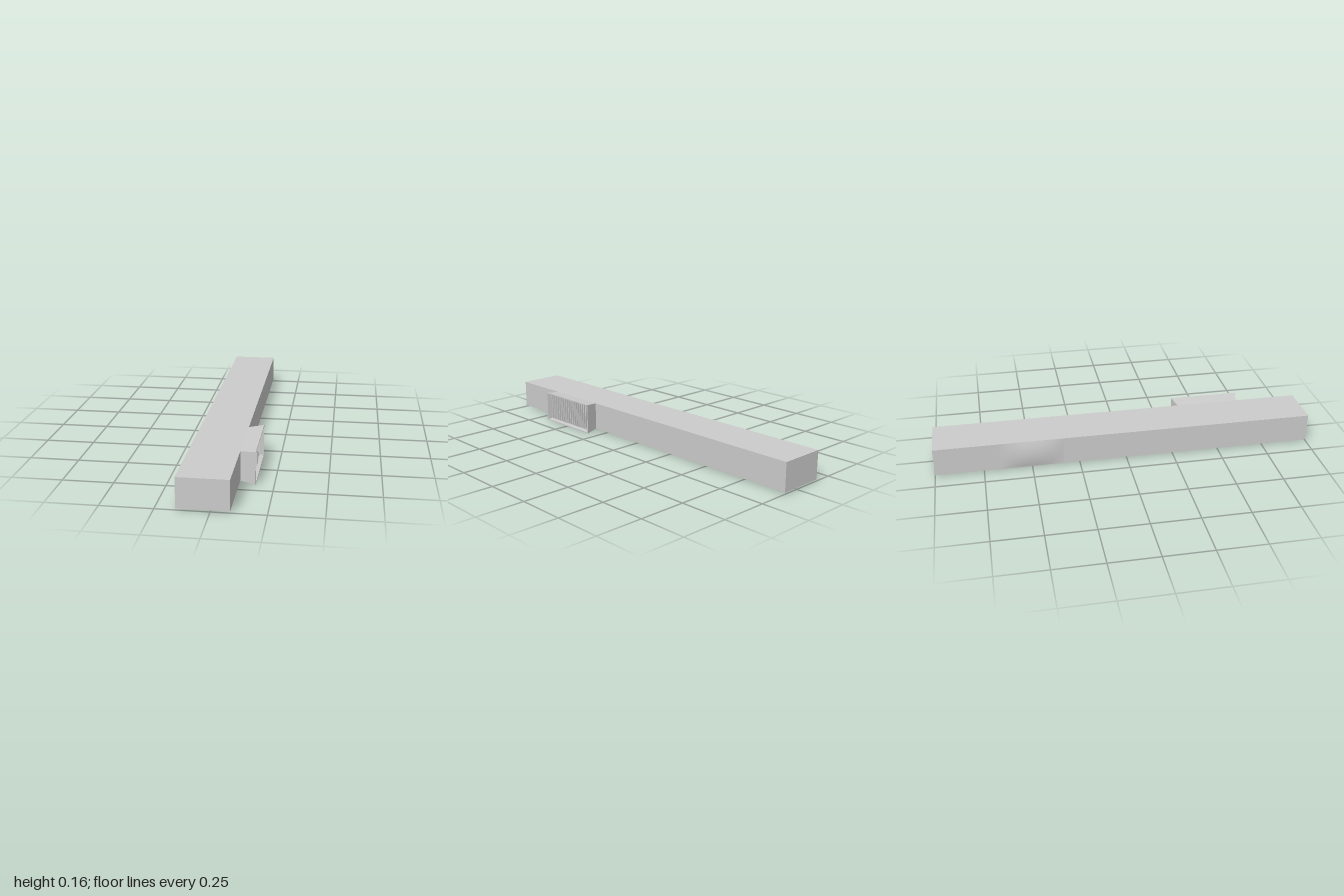
import * as THREE from 'three';

const material = new THREE.MeshStandardMaterial({ color: 0xcccccc, flatShading: true });
const smooth = new THREE.MeshStandardMaterial({ color: 0xcccccc });

function addMesh(parent, name, geometry, x = 0, y = 0, z = 0, mat = material) {
  const mesh = new THREE.Mesh(geometry, mat);
  mesh.name = name;
  mesh.position.set(x, y, z);
  parent.add(mesh);
  return mesh;
}

// Skin rectangular rings, each given as [x, half height, half depth]
function loftRings(rings) {
  const positions = [], index = [];
  for (const [x, h, d] of rings) {
    positions.push(x, -h, d, x, -h, -d, x, h, -d, x, h, d);
  }
  for (let r = 0; r < rings.length - 1; r++) {
    for (let i = 0; i < 4; i++) {
      const a = r * 4 + i, b = r * 4 + (i + 1) % 4;
      index.push(a, b, b + 4, a, b + 4, a + 4);
    }
  }
  const geometry = new THREE.BufferGeometry();
  geometry.setAttribute('position', new THREE.Float32BufferAttribute(positions, 3));
  geometry.setIndex(index);
  const flat = geometry.toNonIndexed();
  flat.computeVertexNormals();
  return flat;
}

export function createModel() {
  const model = new THREE.Group();
  model.name = 'ductWithVent';
  const midY = 0.085;

  // Long rectangular duct
  addMesh(model, 'ductBody', new THREE.BoxGeometry(0.242, 0.148, 2), -0.033, midY, 0);

  // Flared outlet: outer wall, rim, then inner wall back to the body
  const outlet = new THREE.Group();
  outlet.name = 'flaredOutlet';
  outlet.position.set(0.088, midY, 0.499);
  model.add(outlet);
  addMesh(outlet, 'outletShell', loftRings([
    [0, 0.074, 0.167],
    [0.075, 0.082, 0.186],
    [0.075, 0.077, 0.179],
    [0.002, 0.069, 0.162],
  ]));

  // Vertical grille slats, fanned out with the flare
  const count = 20;
  const slat = new THREE.BoxGeometry(0.055, 0.145, 0.006);
  for (let i = 0; i < count; i++) {
    const t = (i / (count - 1)) * 2 - 1;
    const mesh = addMesh(outlet, 'grilleSlat', slat, 0.029, 0, t * 0.159);
    mesh.rotation.y = -t * 0.12;
  }

  // Shallow bulge on the opposite wall
  const bulge = new THREE.PlaneGeometry(0.33, 0.148, 16, 10);
  const p = bulge.attributes.position;
  for (let i = 0; i < p.count; i++) {
    const u = p.getX(i) / 0.165, v = p.getY(i) / 0.074;
    p.setZ(i, 0.011 * (1 - u * u) * (1 - v * v));
  }
  bulge.rotateY(-Math.PI / 2);
  bulge.computeVertexNormals();
  addMesh(model, 'wallBulge', bulge, -0.1543, midY, -0.5, smooth);

  return model;
}
